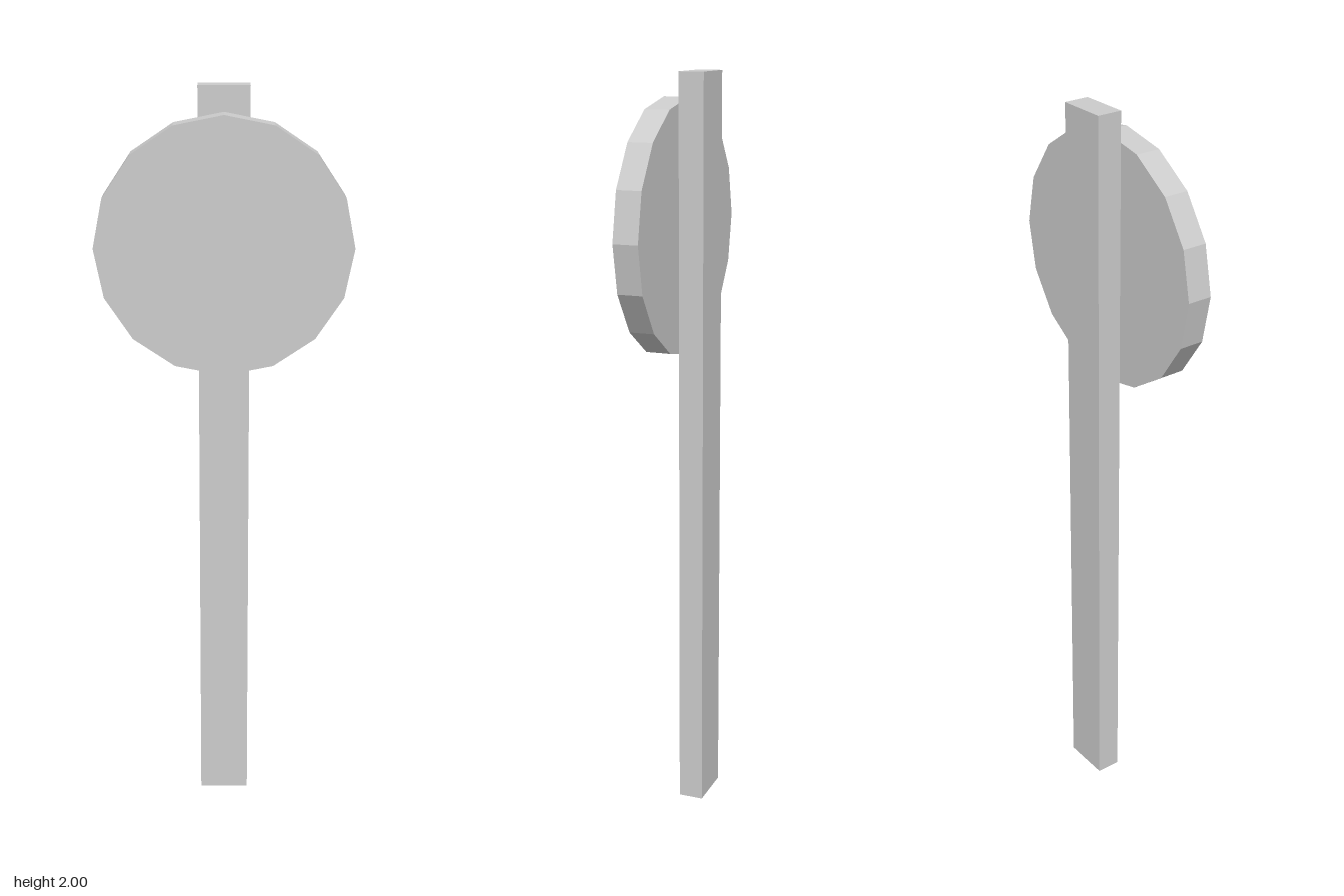
import * as THREE from 'three';

const THICKNESS = 0.067;

export function createModel() {
  const group = new THREE.Group();
  const material = new THREE.MeshStandardMaterial({ color: 0xcccccc, flatShading: true });

  const add = (name, geometry, x, y, z) => {
    const mesh = new THREE.Mesh(geometry, material);
    mesh.name = name;
    mesh.position.set(x, y, z);
    group.add(mesh);
  };

  // Upright post, behind the disc
  add('post', new THREE.BoxGeometry(0.133, 2, THICKNESS), 0, 1, -THICKNESS / 2);

  // Sixteen-sided sign disc, fixed to the front of the post
  const disc = new THREE.CylinderGeometry(0.333, 0.333, THICKNESS, 16).rotateX(Math.PI / 2);
  add('signDisc', disc, 0, 1.602, THICKNESS / 2);

  return group;
}
